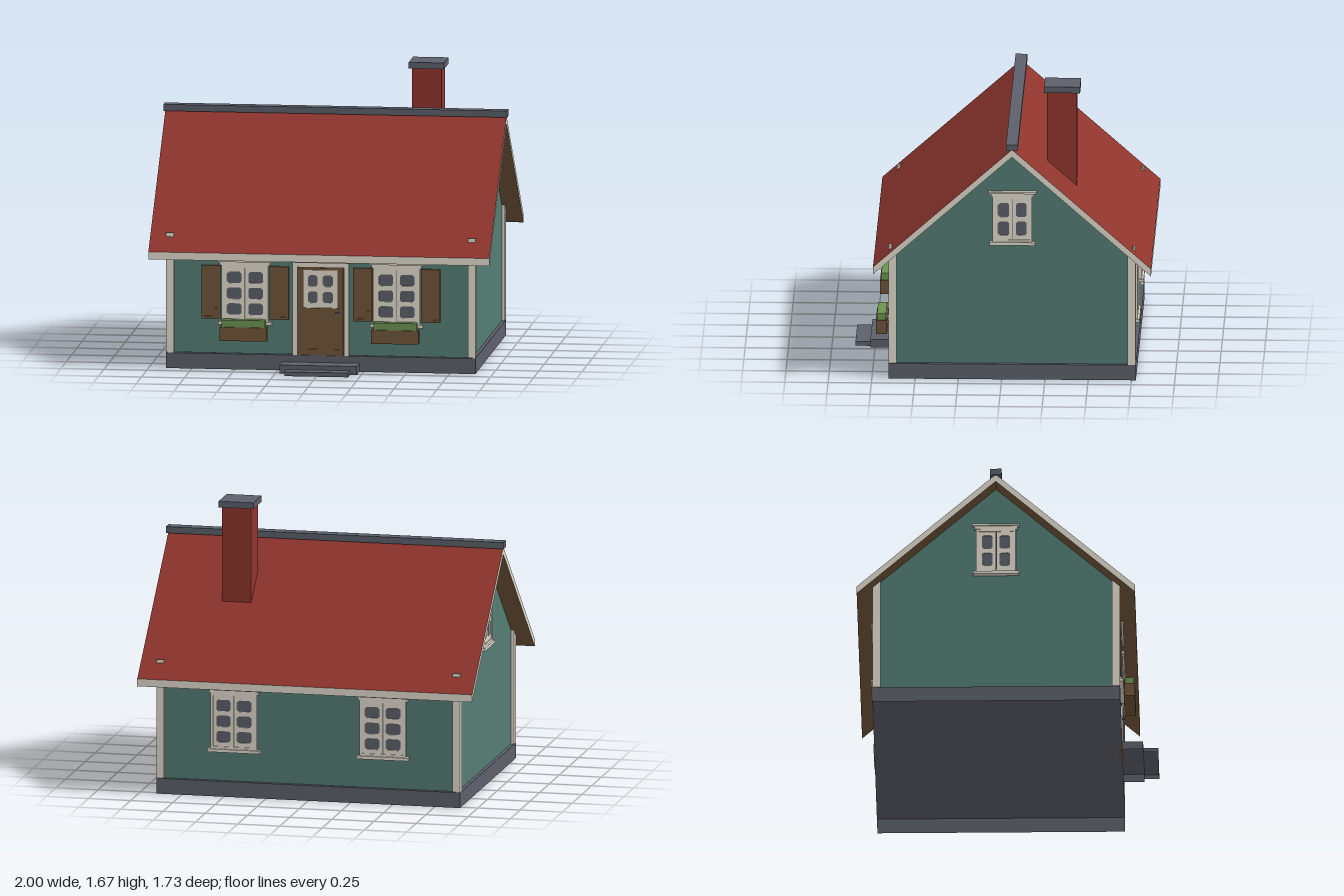
import * as THREE from 'three';

const mat = (name, color, side = THREE.FrontSide) =>
  Object.assign(new THREE.MeshStandardMaterial({ color, side }), { name });
const red = mat('brick red', 0x8f352d);
const teal = mat('wall teal', 0x547d74);
const cream = mat('trim cream', 0xe4ddcf, THREE.DoubleSide);
const brown = mat('wood brown', 0x705539);
const slate = mat('stone slate', 0x5d606b, THREE.DoubleSide);
const green = mat('leaf green', 0x6c9452);

const ZC = -0.062; // centre line of the house
const WALL_FRONT = 0.637, WALL_BACK = -0.757, WALL_X = 0.882;
const TOP = 2, BOTTOM = 3; // box faces that can be left open

// Box given by its ranges on each axis, optionally without one face
function box(parent, name, material, [x0, x1], [y0, y1], [z0, z1], open = -1) {
  const geo = new THREE.BoxGeometry(x1 - x0, y1 - y0, z1 - z0);
  if (open >= 0) {
    const index = Array.from(geo.index.array);
    index.splice(open * 6, 6);
    geo.setIndex(index);
    geo.clearGroups();
  }
  const mesh = new THREE.Mesh(geo, material);
  mesh.position.set((x0 + x1) / 2, (y0 + y1) / 2, (z0 + z1) / 2);
  mesh.name = name;
  parent.add(mesh);
}

function rectPath(path, x, y, w, h, c = 0) {
  const a = w / 2, b = h / 2;
  const pts = c
    ? [[-a + c, -b], [a - c, -b], [a, -b + c], [a, b - c], [a - c, b], [-a + c, b], [-a, b - c], [-a, -b + c]]
    : [[-a, -b], [a, -b], [a, b], [-a, b]];
  path.setFromPoints(pts.map(([px, py]) => new THREE.Vector2(x + px, y + py)));
  return path;
}

// Cream panel with chamfered openings and a slate glass plate behind
function glazedPanel(parent, name, x, y, w, h, z, depth, cols, rows, pw, ph, dx, dy) {
  const shape = rectPath(new THREE.Shape(), x, y, w, h);
  for (let c = 0; c < cols; c++)
    for (let r = 0; r < rows; r++)
      shape.holes.push(rectPath(new THREE.Path(),
        x + (c - (cols - 1) / 2) * dx, y + (r - (rows - 1) / 2) * dy, pw, ph, 0.011));
  const frame = new THREE.Mesh(new THREE.ExtrudeGeometry(shape, { depth, bevelEnabled: false }), cream);
  frame.position.z = z;
  frame.name = name;
  parent.add(frame);
  box(parent, name + 'Glass', slate, [x - w / 2 + 0.005, x + w / 2 - 0.005],
    [y - h / 2 + 0.005, y + h / 2 - 0.005], [z + 0.001, z + depth * 0.5]);
}

// Window facing +z with its back on z = 0 and its centre at the origin
function makeWindow(w, h, rows) {
  const g = new THREE.Group();
  g.name = 'window';
  const a = w / 2, b = h / 2, t = 0.014, sw = a - t - 0.0015, sh = h - 2 * t;
  for (const s of [-1, 1]) {
    box(g, 'casingSide', cream, [s * (a - t / 2) - t / 2, s * (a - t / 2) + t / 2], [-b, b], [-0.005, 0.02]);
    const dy = (sh - 0.022) / rows;
    glazedPanel(g, 'sash', s * (sw / 2 + 0.0015), 0, sw, sh, 0, 0.014, 1, rows, sw - 0.036, dy - 0.026, 0, dy);
  }
  box(g, 'casingTop', cream, [-a, a], [b - t, b], [-0.005, 0.02]);
  box(g, 'casingBottom', cream, [-a, a], [-b, -b + t], [-0.005, 0.02]);
  box(g, 'middleGap', slate, [-0.003, 0.003], [-b + t, b - t], [0, 0.006]);
  box(g, 'headerBoard', cream, [-a - 0.01, a + 0.01], [b, b + 0.02], [-0.005, 0.022]);
  box(g, 'headerCap', cream, [-a - 0.024, a + 0.024], [b + 0.02, b + 0.031], [-0.005, 0.031]);
  box(g, 'sill', cream, [-a - 0.018, a + 0.018], [-b - 0.018, -b], [-0.005, 0.031]);
  return g;
}

// Shutter with framed panels
function addShutter(g, cx) {
  const a = 0.055, y0 = -0.15, y1 = 0.16;
  box(g, 'shutter', brown, [cx - a, cx + a], [y0, y1], [-0.005, 0.014]);
  for (const s of [-1, 1])
    box(g, 'shutterStile', brown, [cx + s * 0.0475 - 0.0075, cx + s * 0.0475 + 0.0075], [y0, y1], [0.01, 0.019]);
  for (const y of [y0, -0.105, y1 - 0.015])
    box(g, 'shutterRail', brown, [cx - 0.04, cx + 0.04], [y, y + 0.015], [0.01, 0.019]);
}

function addFlowerBox(g) {
  box(g, 'flowerBox', brown, [-0.137, 0.137], [-0.267, -0.187], [0.034, 0.099]);
  box(g, 'flowerBoxPlants', green, [-0.126, 0.126], [-0.187, -0.146], [0.04, 0.092]);
}

function makeDoor() {
  const g = new THREE.Group();
  g.name = 'door';
  box(g, 'doorLeaf', brown, [-0.135, 0.135], [0.09, 0.61], [-0.005, 0.006]);
  // Stiles and rails around two lower panels
  for (const [x0, x1, top] of [[-0.13, -0.108, 0.6], [-0.01, 0.01, 0.32], [0.108, 0.13, 0.6]])
    box(g, 'doorStile', brown, [x0, x1], [0.09, top], [0, 0.012]);
  for (const [y0, y1] of [[0.09, 0.125], [0.315, 0.365], [0.585, 0.6]])
    box(g, 'doorRail', brown, [-0.108, 0.108], [y0, y1], [0, 0.012]);
  glazedPanel(g, 'doorWindow', -0.002, 0.478, 0.204, 0.22, 0.004, 0.012, 2, 2, 0.056, 0.066, 0.088, 0.096);
  box(g, 'doorLatchPlate', slate, [0.093, 0.105], [0.325, 0.355], [0.01, 0.016]);
  box(g, 'doorHandle', slate, [0.085, 0.105], [0.339, 0.347], [0.016, 0.026]);
  for (const s of [-1, 1])
    box(g, 'doorJamb', cream, [s * 0.149 - 0.014, s * 0.149 + 0.014], [0.092, 0.61], [-0.005, 0.02]);
  box(g, 'doorHeader', cream, [-0.163, 0.163], [0.605, 0.632], [-0.005, 0.022]);
  box(g, 'doorHeaderCap', cream, [-0.178, 0.178], [0.632, 0.647], [-0.005, 0.031]);
  g.position.z = WALL_FRONT;
  return g;
}

// One roof half: a box sheared to the slope, running from ridge to eave
function roofSlope(side) {
  const run = 0.803, drop = 0.708, geo = new THREE.BoxGeometry(1.984, 0.044, run);
  const p = geo.attributes.position;
  for (let i = 0; i < p.count; i++) {
    const out = p.getZ(i) * side + run / 2;
    p.setY(i, p.getY(i) - (out / run) * drop);
  }
  geo.computeVertexNormals();
  const mesh = new THREE.Mesh(geo, [cream, cream, red, brown, cream, cream]);
  mesh.position.set(0, 1.377, ZC + side * run / 2);
  mesh.name = side > 0 ? 'frontRoof' : 'backRoof';
  return mesh;
}

export function createModel() {
  const house = new THREE.Group();
  house.name = 'cottage';

  // Base and steps, hollow underneath
  box(house, 'foundation', slate, [-0.9, 0.9], [0, 0.09], [-0.775, 0.655], BOTTOM);
  box(house, 'upperStep', slate, [-0.225, 0.225], [0, 0.05], [0.656, 0.777], BOTTOM);
  box(house, 'lowerStep', slate, [-0.185, 0.185], [0, 0.025], [0.778, 0.864], BOTTOM);

  // Walls with gables, extruded along x
  const half = (WALL_FRONT - WALL_BACK) / 2, top = 1.362;
  const gable = new THREE.Shape([[-half, 0.092], [half, 0.092], [half, top - half * 0.881],
    [0, top], [-half, top - half * 0.881]].map(([x, y]) => new THREE.Vector2(x, y)));
  const walls = new THREE.Mesh(
    new THREE.ExtrudeGeometry(gable, { depth: WALL_X * 2, bevelEnabled: false }), teal);
  walls.rotation.y = Math.PI / 2;
  walls.position.set(-WALL_X, 0, (WALL_FRONT + WALL_BACK) / 2);
  walls.name = 'walls';
  house.add(walls);

  // Open-topped corner boards, which just pierce the roof
  for (const s of [-1, 1]) {
    const x = [s * 0.878 - 0.022, s * 0.878 + 0.022];
    box(house, 'frontCornerBoard', cream, x, [0.092, 0.792], [0.608, 0.654], TOP);
    box(house, 'backCornerBoard', cream, x, [0.092, 0.792], [-0.774, -0.728], TOP);
  }

  // Roof and ridge
  house.add(roofSlope(1), roofSlope(-1));
  box(house, 'ridgeCap', slate, [-1, 1], [1.393, 1.431], [ZC - 0.034, ZC + 0.034]);

  // Chimney
  box(house, 'chimney', red, [0.418, 0.59], [0.95, 1.64], [-0.426, -0.252]);
  box(house, 'chimneyCap', slate, [0.401, 0.607], [1.635, 1.671], [-0.445, -0.237]);

  // Door and windows
  house.add(makeDoor());
  for (const s of [-1, 1]) {
    const front = makeWindow(0.272, 0.327, 3);
    front.position.set(s * 0.441, 0.445, WALL_FRONT);
    addShutter(front, -0.198);
    addShutter(front, 0.198);
    addFlowerBox(front);

    const back = makeWindow(0.272, 0.327, 3);
    back.position.set(s * 0.441, 0.445, WALL_BACK);
    back.rotation.y = Math.PI;

    const gableWindow = makeWindow(0.228, 0.27, 2);
    gableWindow.position.set(s * WALL_X, 0.957, ZC);
    gableWindow.rotation.y = s * Math.PI / 2;
    house.add(front, back, gableWindow);
  }
  return house;
}
